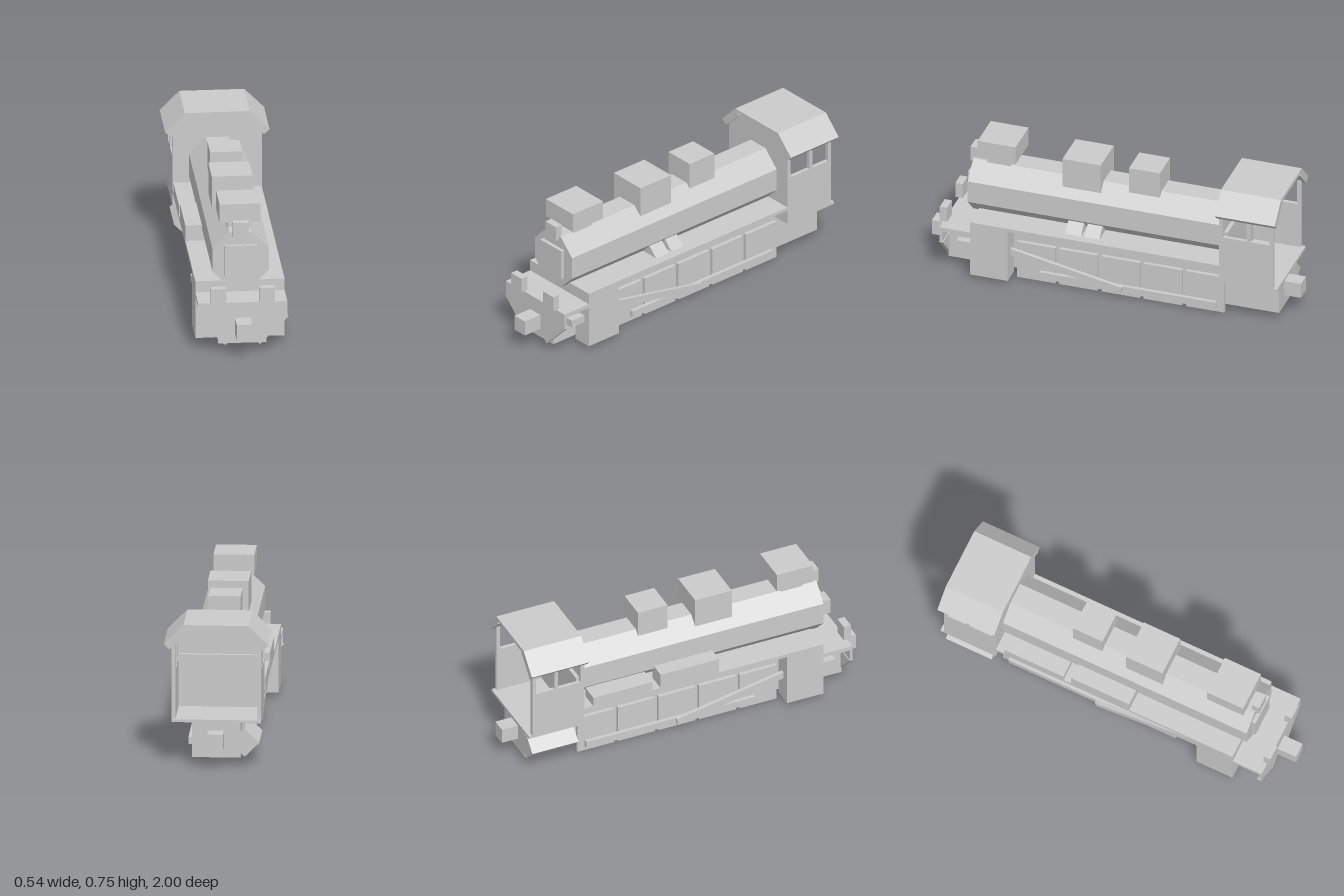
import * as THREE from 'three';

const grey = new THREE.MeshStandardMaterial({ color: 0xcccccc, flatShading: true });

export function createModel() {
  const model = new THREE.Group();

  const add = (name, geometry) => {
    const mesh = new THREE.Mesh(geometry, grey);
    mesh.name = name;
    model.add(mesh);
    return mesh;
  };
  // Box given by its limits on each axis
  const box = (name, x0, x1, y0, y1, z0, z1) => {
    const mesh = add(name, new THREE.BoxGeometry(x1 - x0, y1 - y0, z1 - z0));
    mesh.position.set((x0 + x1) / 2, (y0 + y1) / 2, (z0 + z1) / 2);
    return mesh;
  };
  // Box centred on x = 0
  const mid = (name, half, y0, y1, z0, z1) => box(name, -half, half, y0, y1, z0, z1);
  // The same box on both sides
  const pair = (name, x0, x1, ...rest) => {
    box(name, x0, x1, ...rest);
    box(name, -x1, -x0, ...rest);
  };
  // Outline in x and y, drawn out along z
  const prism = (name, points, z0, z1) => {
    const shape = new THREE.Shape(points.map(([x, y]) => new THREE.Vector2(x, y)));
    add(name, new THREE.ExtrudeGeometry(shape, { depth: z1 - z0, bevelEnabled: false })).position.z = z0;
  };
  const diamond = (name, x, y, r, z0, z1) =>
    prism(name, [[x + r, y], [x, y + r], [x - r, y], [x, y - r]], z0, z1);

  // Frame and couplers
  mid('frame', 0.125, 0.045, 0.25, -0.91, 0.88);
  mid('frontCoupler', 0.04, 0.105, 0.188, 0.88, 1);
  mid('rearCoupler', 0.04, 0.105, 0.188, -1, -0.91);

  // Front platform, beam, guard plates and lamps
  mid('frontPlatform', 0.23, 0.25, 0.272, 0.73, 0.88);
  mid('frontBeam', 0.23, 0.187, 0.272, 0.88, 0.895);
  for (const s of [1, -1]) {
    prism('guardPlate', [[s * -0.06, 0.188], [s * 0.09, 0.04], [s * 0.235, 0.188]], 0.875, 0.895);
  }
  pair('frontLamp', 0.085, 0.165, 0.272, 0.355, 0.875, 0.915);

  // Steam cylinders and running board
  pair('steamCylinder', 0.125, 0.23, 0.022, 0.333, 0.525, 0.73);
  mid('boilerSaddle', 0.125, 0.25, 0.333, 0.525, 0.73);
  pair('pistonRod', 0.155, 0.195, 0.15, 0.19, 0.73, 0.815);
  mid('runningBoard', 0.23, 0.314, 0.333, -0.62, 0.525);
  for (const z of [0.16, -0.28]) mid('boardBracket', 0.125, 0.25, 0.314, z - 0.01, z + 0.01);

  // Square wheels and rods
  for (let i = 0; i < 5; i++) {
    const z = 0.4 - i * 0.229;
    pair('wheel', 0.125, 0.145, 0.003, 0.213, z - 0.104, z + 0.104);
  }
  pair('sideRod', 0.145, 0.165, 0.028, 0.066, -0.58, 0.375);
  for (const s of [1, -1]) {
    const rod = add('mainRod', new THREE.BoxGeometry(0.02, 0.037, 0.66));
    rod.position.set(s * 0.175, 0.115, 0.25);
    rod.rotation.x = -Math.atan2(0.12, 0.61);
  }

  // Eight-sided boiler
  prism('boiler', [
    [0.057, 0.312], [0.145, 0.4], [0.145, 0.522], [0.057, 0.61],
    [-0.057, 0.61], [-0.145, 0.522], [-0.145, 0.4], [-0.057, 0.312],
  ], -0.625, 0.77);
  mid('smokeboxDoor', 0.083, 0.378, 0.543, 0.77, 0.79);
  mid('headlamp', 0.041, 0.587, 0.668, 0.75, 0.79);
  mid('chimneyStem', 0.062, 0.6, 0.648, 0.565, 0.69);
  mid('chimneyTop', 0.105, 0.648, 0.75, 0.525, 0.73);
  mid('steamDome', 0.105, 0.565, 0.73, 0.063, 0.27);
  mid('sandDome', 0.083, 0.585, 0.73, -0.25, -0.083);

  // Fittings that differ from side to side
  diamond('airPump', 0.124, 0.332, 0.057, 0.145, 0.23);
  diamond('airPump', 0.124, 0.332, 0.057, 0.045, 0.125);
  box('frontTank', -0.23, -0.13, 0.333, 0.417, -0.19, 0.14);
  box('rearTank', -0.23, -0.13, 0.333, 0.385, -0.57, -0.235);
  diamond('rearReservoir', -0.145, 0.125, 0.075, -0.91, -0.65);

  // Cab
  mid('cabFloor', 0.23, 0.235, 0.25, -0.935, -0.62);
  prism('cabFrontWall', [
    [-0.23, 0.235], [0.23, 0.235], [0.23, 0.635], [0.135, 0.735], [-0.135, 0.735], [-0.23, 0.635],
  ], -0.64, -0.62);
  mid('backhead', 0.21, 0.25, 0.525, -0.66, -0.64);
  pair('cabSideWall', 0.21, 0.23, 0.235, 0.505, -0.915, -0.62);
  for (const z of [-0.632, -0.78, -0.905]) pair('cabPost', 0.21, 0.23, 0.505, 0.65, z - 0.01, z + 0.01);

  // Roof with sloping eaves
  prism('cabRoof', [
    [0.168, 0.75], [-0.168, 0.75], [-0.147, 0.73], [0.147, 0.73],
  ], -0.935, -0.61);
  for (const s of [1, -1]) {
    prism('roofEave', [
      [s * 0.168, 0.75], [s * 0.139, 0.721], [s * 0.241, 0.62], [s * 0.269, 0.648],
    ], -0.935, -0.61);
  }
  return model;
}
